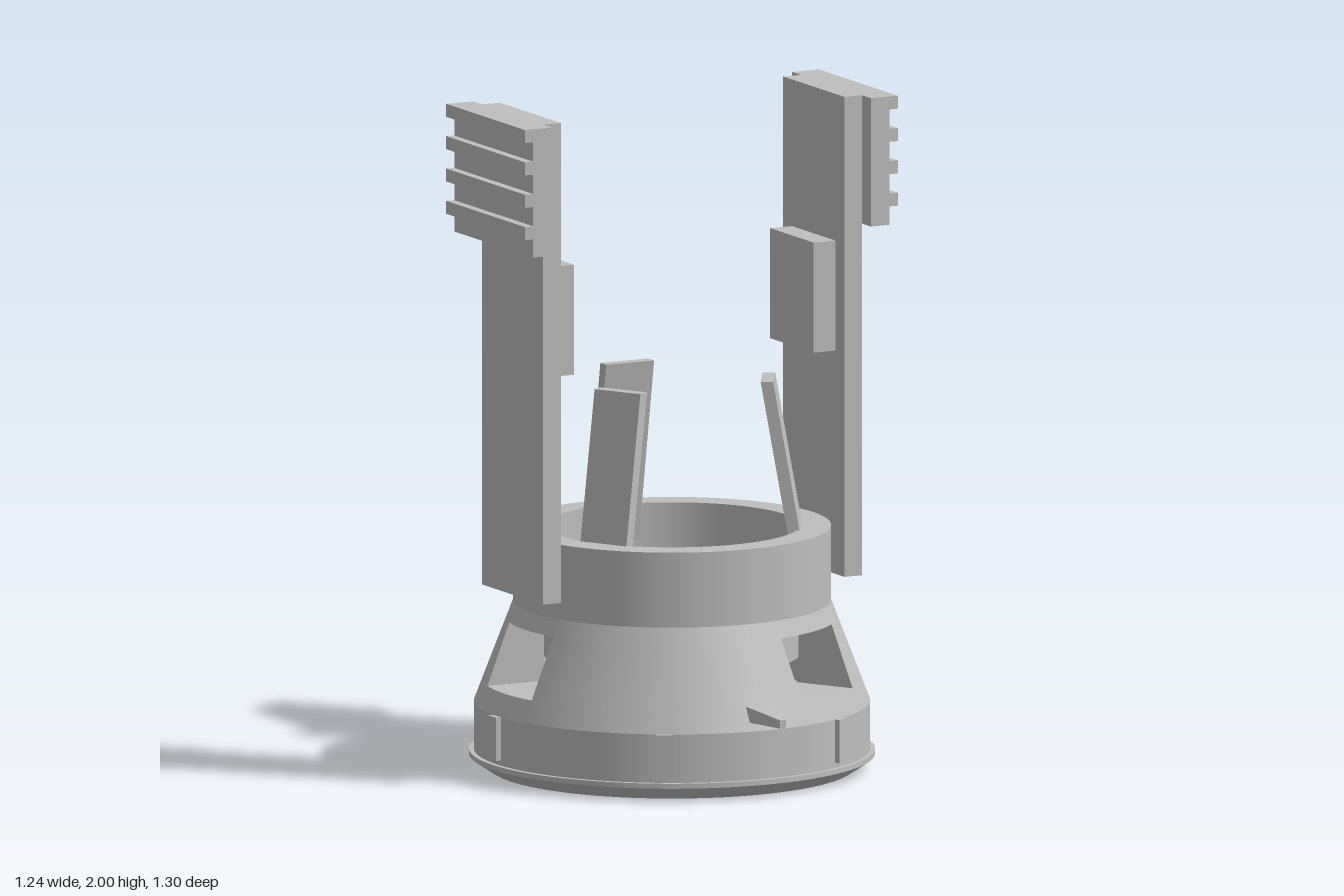
import * as THREE from 'three';
import { mergeGeometries } from 'three/addons/utils/BufferGeometryUtils.js';

const grey = new THREE.MeshStandardMaterial({ color: 0xbebebe });
grey.name = 'plain grey';

function add(parent, name, geometry) {
  const mesh = new THREE.Mesh(geometry, grey);
  mesh.name = name;
  parent.add(mesh);
  return mesh;
}

// Box given by its minimum and maximum corners
function box(x0, x1, y0, y1, z0, z1) {
  return new THREE.BoxGeometry(x1 - x0, y1 - y0, z1 - z0)
    .translate((x0 + x1) / 2, (y0 + y1) / 2, (z0 + z1) / 2);
}

// Turned part with a crisp edge at every profile point
function turned(points) {
  const bands = [];
  for (let i = 0; i + 1 < points.length; i++) {
    const pair = [points[i], points[i + 1]].map(([r, y]) => new THREE.Vector2(r, y));
    bands.push(new THREE.LatheGeometry(pair, 96));
  }
  return mergeGeometries(bands);
}

// Move every vertex of a geometry by a rule
function reshape(geometry, rule) {
  const p = geometry.attributes.position;
  const v = new THREE.Vector3();
  for (let i = 0; i < p.count; i++) {
    v.fromBufferAttribute(p, i);
    rule(v);
    p.setXYZ(i, v.x, v.y, v.z);
  }
  geometry.computeVertexNormals();
  return geometry;
}

const BORE = 0.38;
const SILL = 0.265, LINTEL = 0.45;
const coneRadius = (y) => 0.585 - (y - 0.2) * (0.115 / 0.3);

// Conical wall between two parallel-sided windows
function wallSector() {
  return reshape(new THREE.BoxGeometry(1, 1, 1, 28, 1, 1), (v) => {
    const y = v.y > 0 ? LINTEL : SILL;
    const r = v.z > 0 ? coneRadius(y) : BORE;
    const a = v.x * 2 * (Math.PI / 3 - Math.asin(0.14 / r));
    v.set(r * Math.sin(a), y, r * Math.cos(a));
  });
}

export function createModel() {
  const model = new THREE.Group();
  const body = new THREE.Group();
  body.name = 'body';
  body.position.z = -0.053;
  model.add(body);

  // Base with flange, recessed underside and inner floor
  add(body, 'base', turned([
    [0, 0.05], [0.4, 0.05], [0.44, 0], [0.54, 0], [0.6, 0.04], [0.6, 0.055],
    [0.585, 0.055], [0.585, 0.2], [coneRadius(SILL), SILL],
    [BORE, SILL], [BORE, 0.24], [0, 0.24],
  ]));

  // Neck with funnel-shaped seat inside
  add(body, 'neck', turned([
    [0, 0.34], [BORE, 0.34], [BORE, LINTEL], [coneRadius(LINTEL), LINTEL],
    [0.47, 0.5], [0.47, 0.725], [BORE, 0.725], [BORE, 0.51], [0.21, 0.36], [0, 0.36],
  ]));

  // Wall sectors leave three windows; inner fingers lean inward
  for (let i = 0; i < 3; i++) {
    const turn = (i * 2 * Math.PI) / 3;
    add(body, 'windowWall', wallSector()).rotation.y = Math.PI / 2 + turn;
    const finger = reshape(box(-0.08, 0.08, 0.62, 1.17, 0.265, 0.302), (v) => {
      v.z += (1.17 - v.y) * 0.175;
    });
    add(body, 'finger', finger).rotation.y = Math.PI + turn;
  }

  // Ribs around the base
  for (let i = 0; i < 6; i++) {
    add(body, 'rib', box(-0.024, 0.024, 0.07, 0.2, 0.56, 0.6))
      .rotation.y = Math.PI / 6 + (i * Math.PI) / 3;
  }

  // Tapered pointer at the front
  add(body, 'pointer', reshape(box(-1, 1, 0, 1, 0, 1), (v) => {
    const tip = v.z > 0.5, top = v.y > 0.5;
    v.x *= tip ? 0.01 : 0.048;
    v.y = top ? (tip ? 0.25 : 0.272) : 0.225;
    v.z = tip ? 0.703 : 0.55;
  }));

  // Tall side arms with inner pads and ridged grips
  for (const [side, s] of [['left', 1], ['right', -1]]) {
    const arm = new THREE.Group();
    arm.name = side + 'Arm';
    const part = (name, x0, x1, y0, y1, halfZ) =>
      add(arm, name, box(Math.min(s * x0, s * x1), Math.max(s * x0, s * x1), y0, y1, -halfZ, halfZ));
    part('armPlate', 0.473, 0.532, 0.56, 2, 0.194);
    part('pad', 0.4, 0.473, 1.23, 1.56, 0.138);
    part('grip', 0.532, 0.595, 1.615, 2, 0.25);
    for (let i = 0; i < 4; i++) {
      part('gripRidge', 0.595, 0.622, 1.67 + i * 0.097, 1.709 + i * 0.097, 0.25);
    }
    body.add(arm);
  }
  return model;
}
